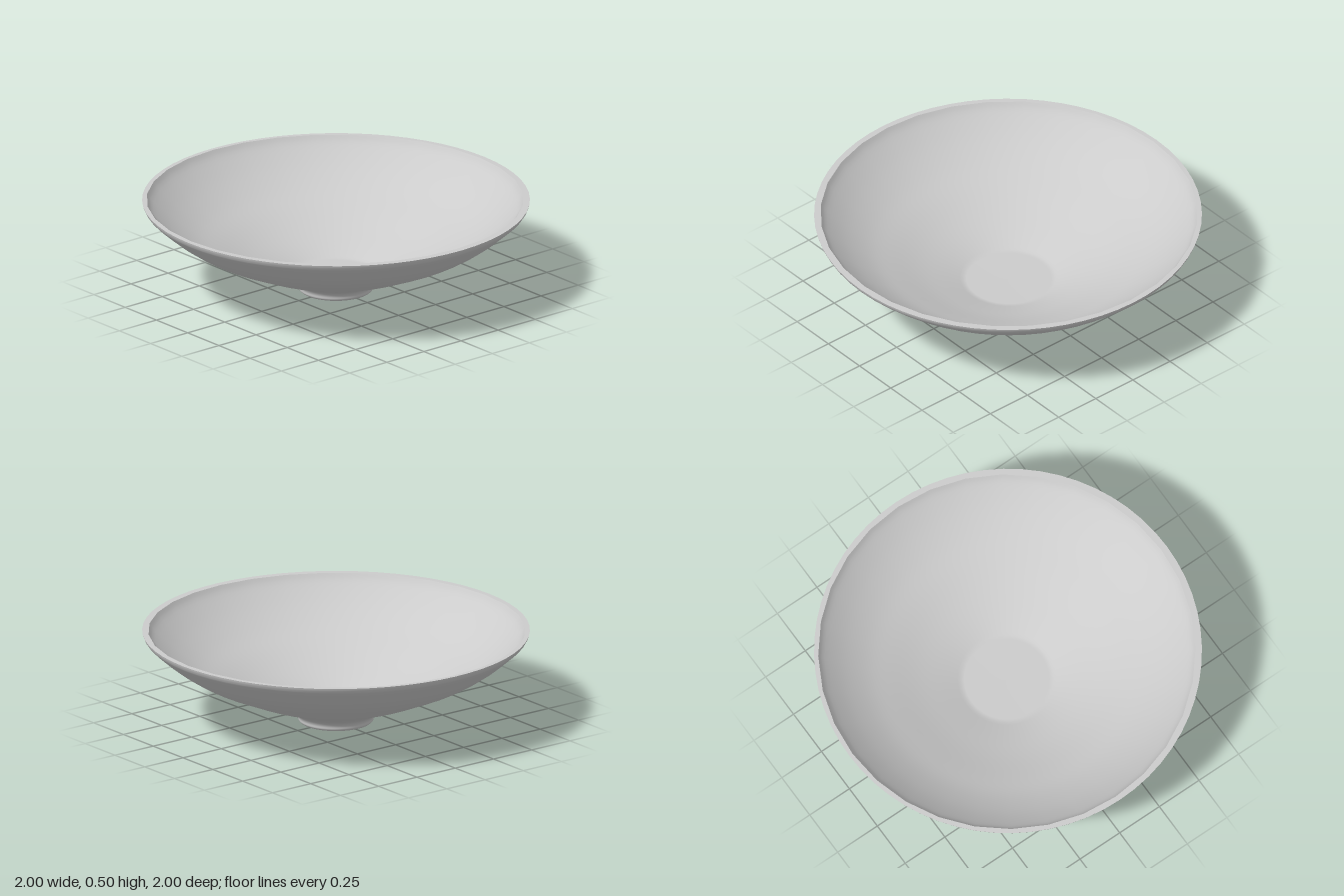
import * as THREE from 'three';

const OUTER_SIDES = 64, INNER_SIDES = 32;
const RIM_Y = 0.5, INNER_RIM = 0.973, INNER_SHIFT = -0.007;

const vec = ([x, y]) => new THREE.Vector2(x, y);

// Smooth profile through a few radius/height pairs
function profile(pairs, steps) {
  return new THREE.SplineCurve(pairs.map(vec)).getPoints(steps);
}

// Regular polygon points, matching the lathe's vertex angles
function ring(radius, sides, offsetY = 0) {
  return Array.from({ length: sides }, (_, i) => {
    const a = (i / sides) * Math.PI * 2;
    return new THREE.Vector2(Math.sin(a) * radius, Math.cos(a) * radius + offsetY);
  });
}

export function createModel() {
  const group = new THREE.Group();
  group.name = 'bowl';
  const material = new THREE.MeshStandardMaterial({ color: 0xcccccc });
  const add = (name, geometry) => {
    const mesh = new THREE.Mesh(geometry, material);
    mesh.name = name;
    group.add(mesh);
    return mesh;
  };

  // Outside: short foot, pinched neck, then the wide flaring wall
  add('outerWall', new THREE.LatheGeometry(profile([
    [0.185, 0.012], [0.194, 0.022], [0.197, 0.04], [0.212, 0.06], [0.25, 0.081],
    [0.33, 0.114], [0.47, 0.164], [0.6, 0.22], [0.735, 0.282],
    [0.86, 0.362], [0.97, 0.455], [0.993, 0.482], [1, RIM_Y],
  ], 48), OUTER_SIDES));

  // Underside of the foot
  add('footBase', new THREE.LatheGeometry(
    [[0, 0.005], [0.17, 0.007], [0.185, 0.012]].map(vec), OUTER_SIDES));

  // Inside: curved wall running down to a flat round floor
  const wall = profile([
    [INNER_RIM, RIM_Y], [0.94, 0.457], [0.84, 0.372], [0.72, 0.294],
    [0.59, 0.232], [0.46, 0.174], [0.33, 0.124], [0.24, 0.09],
  ], 28);
  const inner = add('innerWall', new THREE.LatheGeometry(
    [...wall, vec([0.22, 0.086]), vec([0, 0.085])], INNER_SIDES));
  inner.position.z = INNER_SHIFT;

  // Flat lip joining the outer and inner walls
  const lip = new THREE.Shape(ring(1, OUTER_SIDES));
  lip.holes.push(new THREE.Path(ring(INNER_RIM, INNER_SIDES, -INNER_SHIFT)));
  const rim = new THREE.ShapeGeometry(lip);
  rim.rotateX(-Math.PI / 2);
  rim.translate(0, RIM_Y, 0);
  add('rim', rim);

  return group;
}
